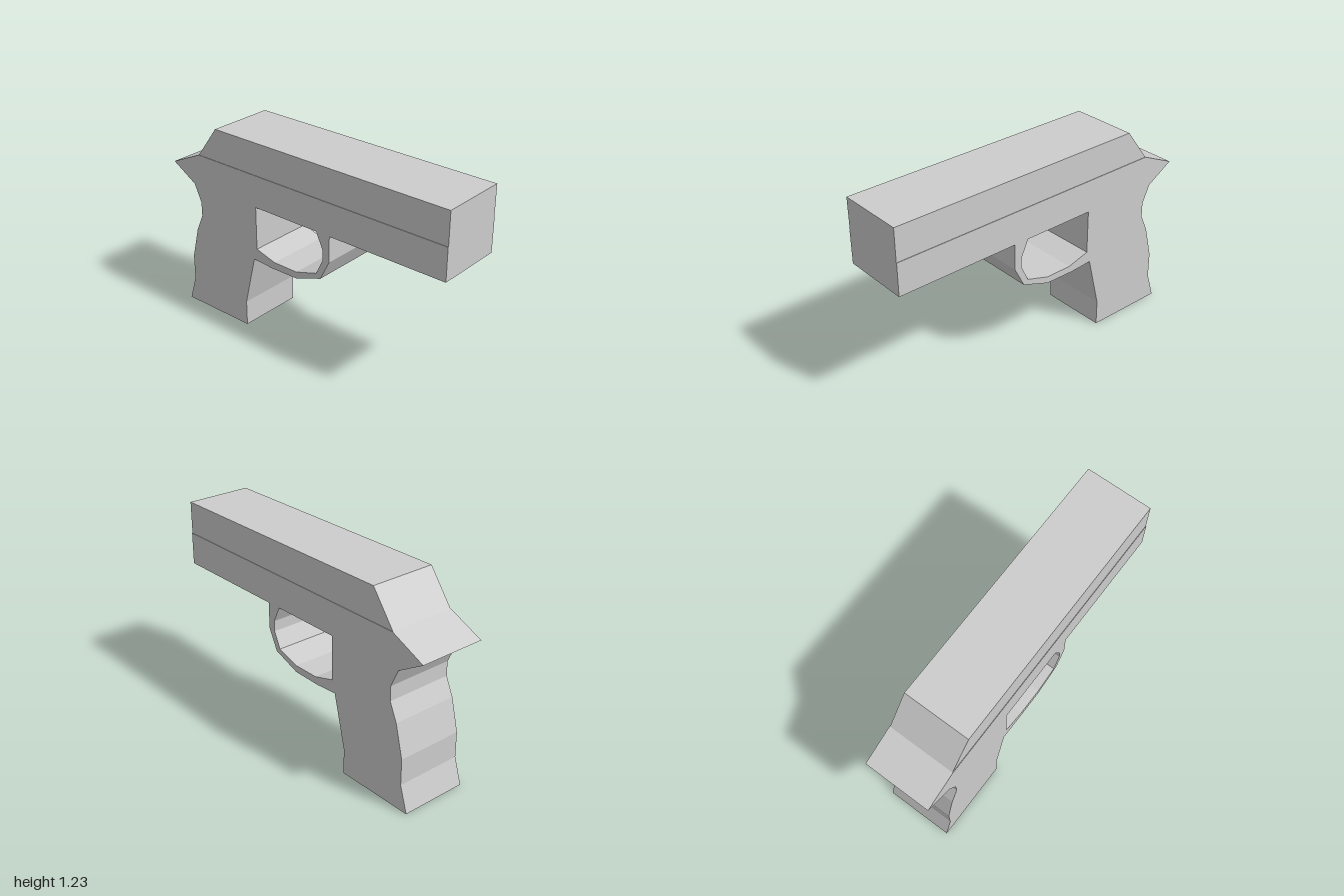
import * as THREE from 'three';

const path = (pts) => pts.map(([z, y]) => new THREE.Vector2(z, y));

// Side profile given as [z, y], extruded across x and centred
function slab(name, outline, width, material, hole) {
  const shape = new THREE.Shape(path(outline));
  if (hole) shape.holes.push(new THREE.Path(path(hole)));
  const geometry = new THREE.ExtrudeGeometry(shape, { depth: width, bevelEnabled: false });
  geometry.translate(0, 0, -width / 2);
  geometry.rotateY(-Math.PI / 2);
  const mesh = new THREE.Mesh(geometry, material);
  mesh.name = name;
  return mesh;
}

export function createModel() {
  const group = new THREE.Group();
  group.name = 'toyPistol';
  const grey = new THREE.MeshStandardMaterial({ color: 0xcccccc });
  grey.name = 'light grey';

  // Slide, a hair narrower than the frame
  group.add(slab('slide', [
    [1, 1.03], [1, 1.23], [-0.63, 1.23], [-0.78, 1.03],
  ], 0.414, grey));

  // Frame with tang, grip and trigger guard
  group.add(slab('frameAndGrip', [
    [1, 1.03], [-0.78, 1.03], [-1, 0.93], [-0.83, 0.83],
    [-0.78, 0.72], [-0.78, 0.63], [-0.83, 0.52], [-0.88, 0.32], [-0.88, 0.16],
    [-0.93, 0], [-0.425, 0], [-0.425, 0.16], [-0.345, 0.485],
    [-0.2, 0.475], [-0.01, 0.478], [0.17, 0.543], [0.235, 0.67], [0.235, 0.83], [1, 0.83],
  ], 0.42, grey, [
    [0.14, 0.83], [0.187, 0.73], [0.187, 0.665], [0.14, 0.567],
    [-0.01, 0.52], [-0.18, 0.52], [-0.32, 0.56], [-0.32, 0.83],
  ]));

  return group;
}
